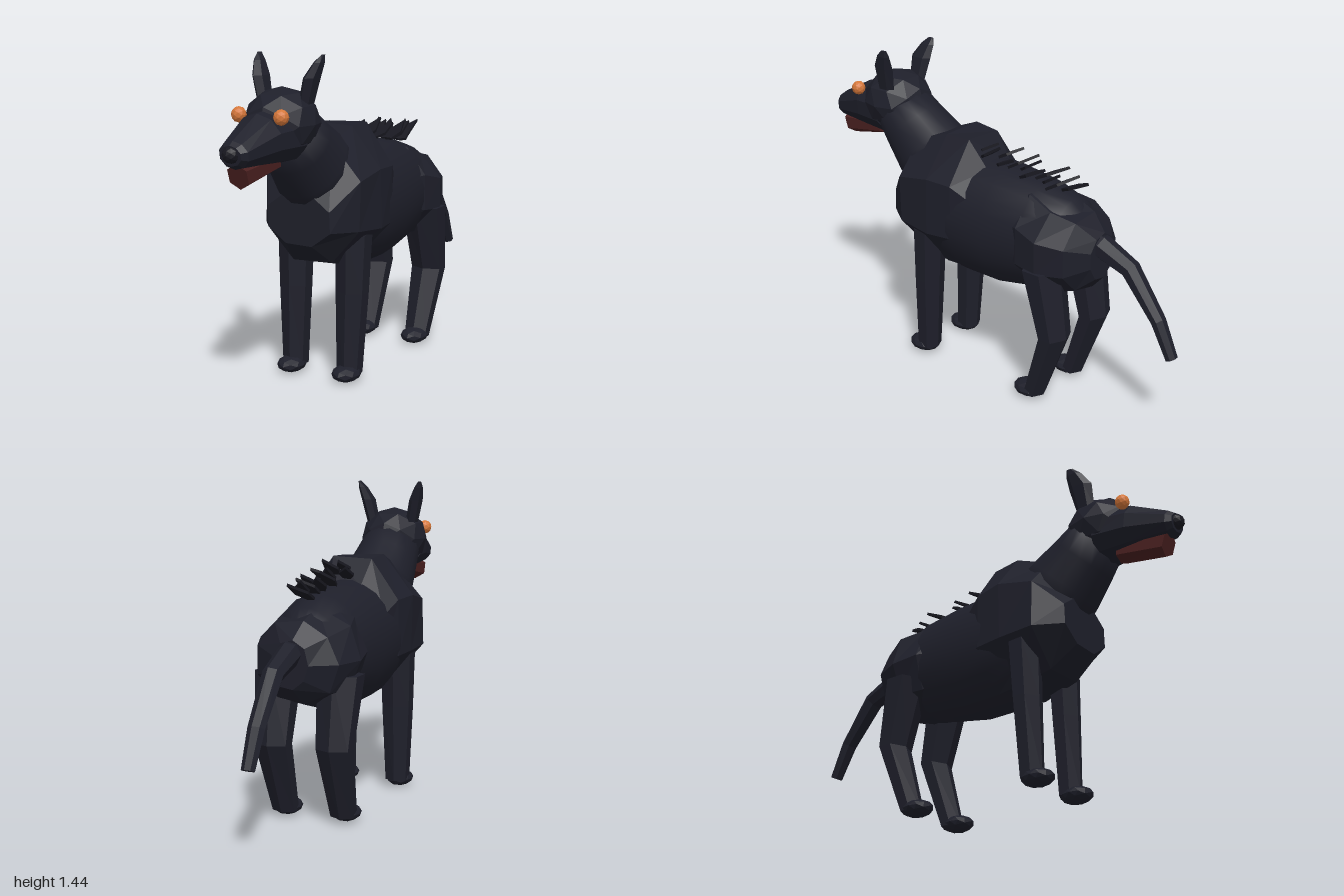
import * as THREE from 'three';

const mat = (name, color) => {
  const m = new THREE.MeshStandardMaterial({ color });
  m.name = name;
  return m;
};

// Skin over rings [x, y, z, halfWidth, halfHeight, tiltDegrees].
// Tilt 0 faces +z, 90 faces down, 180 faces back, -90 faces up.
function loft(rings, n, { smooth = false, rough = 0 } = {}) {
  const pos = [], idx = [];
  rings.forEach(([x, y, z, rx, r, tilt = 0], j) => {
    const t = THREE.MathUtils.degToRad(tilt);
    for (let i = 0; i < n; i++) {
      const a = ((i + 0.5) / n) * Math.PI * 2;
      const k = 1 + rough * Math.sin(i * 4.7 + j * 2.9);
      const u = Math.cos(a) * rx * k, v = Math.sin(a) * r * k;
      pos.push(x + u, y + v * Math.cos(t), z + v * Math.sin(t));
    }
  });
  const last = (rings.length - 1) * n;
  for (let j = 0; j < rings.length - 1; j++) {
    for (let i = 0; i < n; i++) {
      const a = j * n + i, b = j * n + (i + 1) % n;
      idx.push(a, b, a + n, b, b + n, a + n);
    }
  }
  // End caps
  const c = pos.length / 3;
  pos.push(...rings[0].slice(0, 3), ...rings[rings.length - 1].slice(0, 3));
  for (let i = 0; i < n; i++) {
    const k = (i + 1) % n;
    idx.push(c, k, i, c + 1, last + i, last + k);
  }
  let g = new THREE.BufferGeometry();
  g.setAttribute('position', new THREE.Float32BufferAttribute(pos, 3));
  g.setIndex(idx);
  if (!smooth) g = g.toNonIndexed();
  g.computeVertexNormals();
  return g;
}

// Faceted ball stretched to the given half sizes
function facetBall(x, y, z, rx, ry, rz) {
  const g = new THREE.IcosahedronGeometry(1, 1);
  g.scale(rx, ry, rz).translate(x, y, z);
  g.computeVertexNormals();
  return g;
}

// Thin pointed leaf growing along +y
function leaf(length, halfWidth) {
  const shape = new THREE.Shape();
  shape.moveTo(-halfWidth * 0.5, 0);
  shape.lineTo(halfWidth * 0.5, 0);
  shape.lineTo(halfWidth, length * 0.4);
  shape.lineTo(0, length);
  shape.lineTo(-halfWidth, length * 0.4);
  return new THREE.ExtrudeGeometry(shape, { depth: 0.012, bevelEnabled: false });
}

export function createModel() {
  const group = new THREE.Group();
  const fur = mat('darkFur', 0x1e1f2a);
  const dark = mat('blackSpine', 0x181820);
  const red = mat('mouthRed', 0x4a2020);
  const orange = mat('eyeOrange', 0xd5773a);
  const add = (name, geometry, material = fur) => {
    const m = new THREE.Mesh(geometry, material);
    m.name = name;
    group.add(m);
    return m;
  };

  // Smooth barrel
  add('barrel', loft([
    [0, 0.76, -0.54, 0.08, 0.1],
    [0, 0.75, -0.45, 0.165, 0.19],
    [0, 0.74, -0.3, 0.205, 0.245],
    [0, 0.735, -0.1, 0.225, 0.277],
    [0, 0.74, 0.08, 0.232, 0.28],
    [0, 0.77, 0.25, 0.215, 0.26],
    [0, 0.8, 0.38, 0.16, 0.2],
  ], 24, { smooth: true }));

  // Faceted shoulder and hip masses
  add('shoulders', loft([
    [0, 0.77, -0.02, 0.2, 0.24],
    [0, 0.8, 0.07, 0.245, 0.332],
    [0, 0.805, 0.2, 0.26, 0.335],
    [0, 0.795, 0.37, 0.252, 0.28],
    [0, 0.74, 0.485, 0.165, 0.118],
  ], 8, { rough: 0.02 }));
  add('hips', loft([
    [0, 0.72, -0.6, 0.085, 0.105],
    [0, 0.72, -0.53, 0.19, 0.18],
    [0, 0.725, -0.41, 0.245, 0.215],
    [0, 0.745, -0.29, 0.215, 0.235],
    [0, 0.75, -0.2, 0.18, 0.2],
  ], 9, { rough: 0.035 }));

  // Neck
  add('neck', loft([
    [0, 0.9, 0.3, 0.185, 0.2, -45],
    [0, 0.97, 0.39, 0.165, 0.185, -45],
    [0, 1.06, 0.49, 0.15, 0.155, -45],
    [0, 1.15, 0.58, 0.135, 0.13, -45],
  ], 16, { smooth: true }));

  // Head
  add('head', facetBall(0, 1.165, 0.6, 0.158, 0.147, 0.165));
  add('snout', loft([
    [0, 1.12, 0.62, 0.135, 0.12, 8],
    [0, 1.115, 0.77, 0.112, 0.108, 8],
    [0, 1.078, 0.945, 0.071, 0.058, 8],
    [0, 1.078, 0.968, 0.05, 0.042, 8],
  ], 10));
  add('nose', facetBall(0, 1.083, 0.963, 0.037, 0.035, 0.037), dark);
  add('lowerJaw', loft([
    [0, 1.02, 0.69, 0.055, 0.04, 10],
    [0, 0.99, 0.92, 0.052, 0.056, 18],
  ], 6), red);

  // Paired parts
  for (const s of [1, -1]) {
    const side = s > 0 ? 'left' : 'right';
    add(side + 'Eye', facetBall(s * 0.1, 1.21, 0.763, 0.032, 0.033, 0.032), orange);
    add(side + 'Ear', loft([
      [s * 0.098, 1.24, 0.575, 0.027, 0.045, -90],
      [s * 0.122, 1.35, 0.567, 0.028, 0.058, -90],
      [s * 0.143, 1.41, 0.545, 0.018, 0.038, -90],
      [s * 0.153, 1.44, 0.53, 0.005, 0.016, -90],
    ], 6));
    add(side + 'FrontLeg', loft([
      [s * 0.145, 0.66, 0.27, 0.085, 0.068, 90],
      [s * 0.143, 0.4, 0.28, 0.076, 0.06, 90],
      [s * 0.138, 0.04, 0.295, 0.058, 0.052, 90],
    ], 6));
    add(side + 'HindLeg', loft([
      [s * 0.145, 0.66, -0.4, 0.105, 0.09, 90],
      [s * 0.143, 0.35, -0.465, 0.085, 0.064, 90],
      [s * 0.138, 0.03, -0.355, 0.06, 0.05, 90],
    ], 6));
    add(side + 'FrontPaw', facetBall(s * 0.14, 0.042, 0.325, 0.062, 0.037, 0.077));
    add(side + 'HindPaw', facetBall(s * 0.14, 0.042, -0.325, 0.062, 0.037, 0.077));
  }

  // Drooping tail
  add('tail', loft([
    [0, 0.775, -0.52, 0.056, 0.056, 170],
    [0, 0.765, -0.6, 0.054, 0.054, 162],
    [0, 0.705, -0.75, 0.046, 0.043, 142],
    [0, 0.515, -0.9, 0.038, 0.03, 120],
    [0, 0.362, -0.975, 0.03, 0.025, 112],
  ], 7));

  // Flat bristles swept back along the spine
  const count = 11;
  for (let i = 0; i < count; i++) {
    const t = i / (count - 1);
    const length = 0.13 + 0.035 * t + 0.015 * Math.sin(i * 2.1);
    const bristle = add('bristle', leaf(length, 0.034), dark);
    bristle.position.set(0.025 + 0.035 * Math.sin(i * 2.3), 1.035 - 0.07 * t, 0.07 - 0.46 * t);
    bristle.rotation.set(-1.08 + 0.06 * Math.sin(i * 1.7), 0, 0.35 * Math.sin(i * 3.7));
  }
  return group;
}
